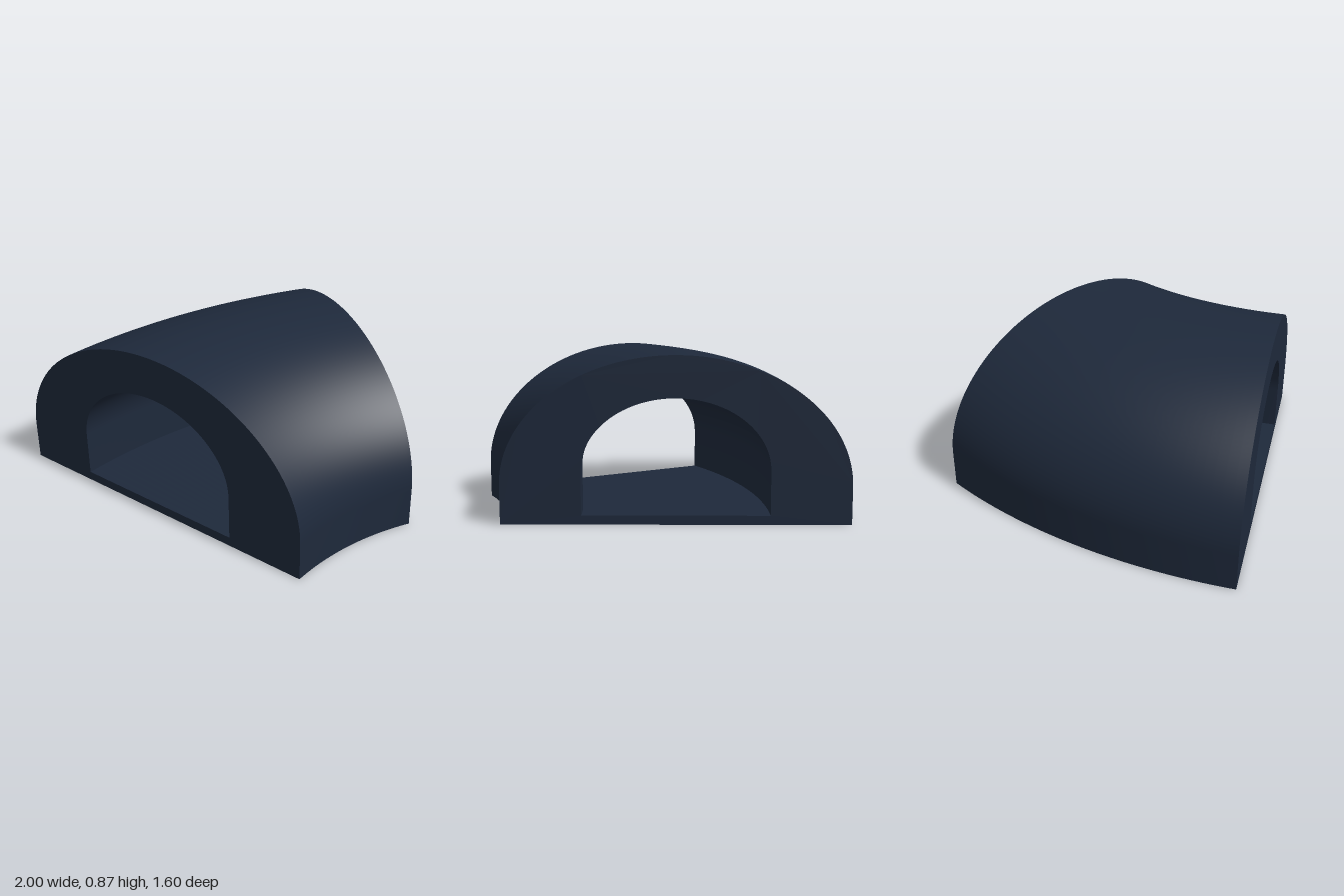
import * as THREE from 'three';
import { toCreasedNormals } from 'three/addons/utils/BufferGeometryUtils.js';

const PIVOT_X = 2.2, FRONT_Z = 0.8, TURN = Math.PI / 6;
const CENTRE_X = -0.093;

// Arch outline: straight walls up to the spring line, then a half ellipse
function arch(path, halfWidth, bottom, spring, top) {
  path.moveTo(CENTRE_X - halfWidth, bottom);
  path.lineTo(CENTRE_X + halfWidth, bottom);
  path.lineTo(CENTRE_X + halfWidth, spring);
  path.absellipse(CENTRE_X, spring, halfWidth, top - spring, 0, Math.PI, false, 0);
  path.lineTo(CENTRE_X - halfWidth, bottom);
  return path;
}

export function createModel() {
  const group = new THREE.Group();
  group.name = 'curvedTunnel';
  const navy = new THREE.MeshStandardMaterial({ color: 0x1e293b });
  navy.name = 'dark navy';

  // Tunnel section with its passage
  const section = arch(new THREE.Shape(), 0.907, 0, 0.2, 0.873);
  section.holes.push(arch(new THREE.Path(), 0.488, 0.048, 0.28, 0.655));
  const geometry = new THREE.ExtrudeGeometry(section, {
    depth: 1, steps: 32, curveSegments: 48, bevelEnabled: false,
  });

  // Bend the straight extrusion around a vertical axis
  const p = geometry.attributes.position;
  for (let i = 0; i < p.count; i++) {
    const radius = PIVOT_X - p.getX(i);
    const angle = (1 - p.getZ(i)) * TURN;
    p.setX(i, PIVOT_X - radius * Math.cos(angle));
    p.setZ(i, FRONT_Z - radius * Math.sin(angle));
  }

  const tunnel = new THREE.Mesh(toCreasedNormals(geometry, 0.6), navy);
  tunnel.name = 'tunnelShell';
  group.add(tunnel);
  return group;
}
